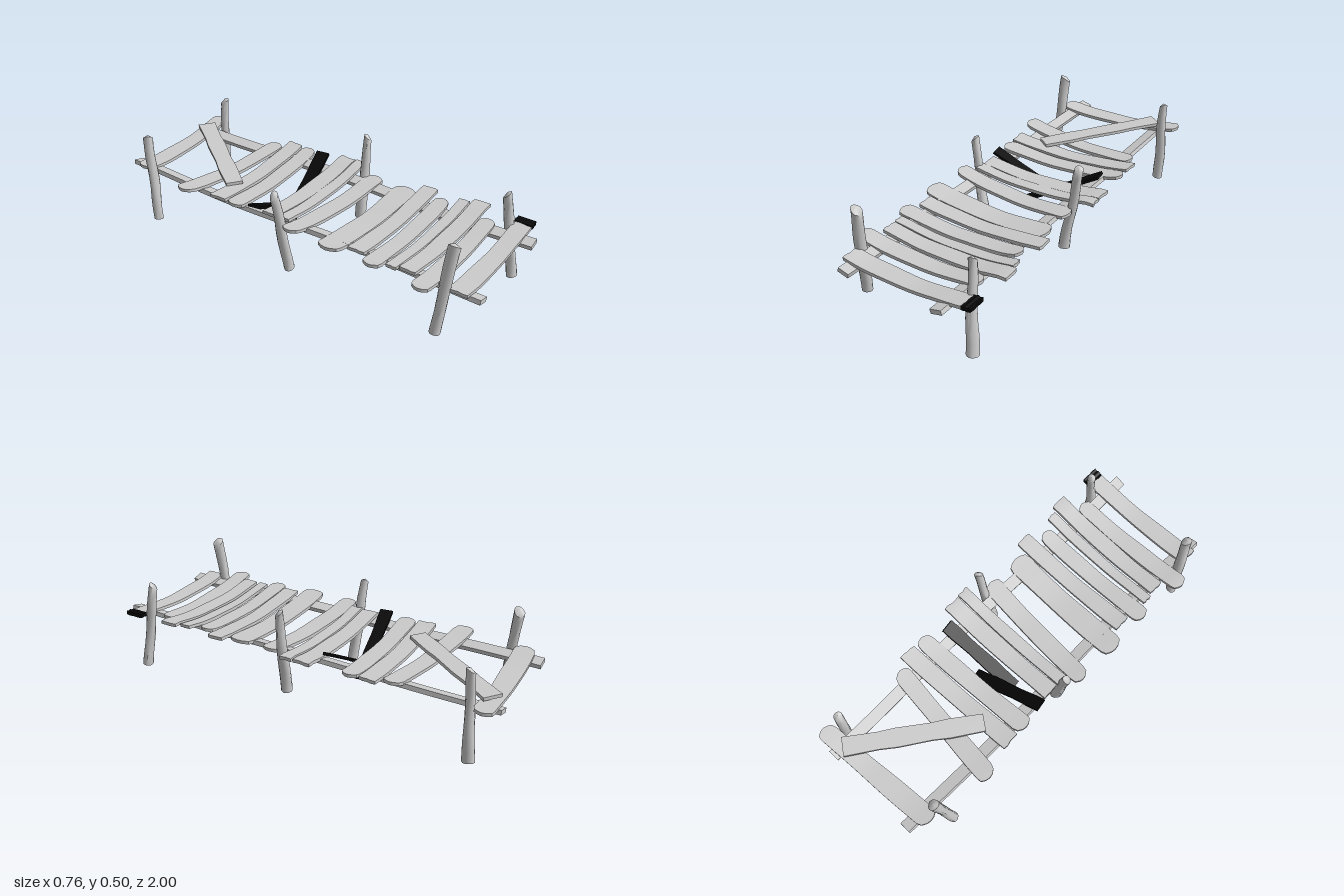
import * as THREE from 'three';
import { toCreasedNormals } from 'three/addons/utils/BufferGeometryUtils.js';

const wood = new THREE.MeshStandardMaterial({ color: 0xcccccc });
wood.name = 'weathered wood';
const burnt = new THREE.MeshStandardMaterial({ color: 0x060606 });
burnt.name = 'blackened wood';

// Small seeded random, -1 to 1
function seeded(seed) {
  let s = seed * 7919 + 17;
  return () => {
    s = (s * 16807) % 2147483647;
    return (s / 2147483647) * 2 - 1;
  };
}

const UP = new THREE.Vector3(0, 1, 0);
const sag = (x, depth) => -depth * Math.max(0, 1 - (x / 0.34) ** 2);

function addMesh(group, geometry, material, name) {
  const mesh = new THREE.Mesh(geometry, material);
  mesh.name = name;
  group.add(mesh);
  return mesh;
}

// Rough log from bottom to top, with a chipped upper end
function post(bottom, top, rBottom, rTop, seed) {
  const a = new THREE.Vector3(...bottom), b = new THREE.Vector3(...top);
  const length = a.distanceTo(b);
  const g = new THREE.CylinderGeometry(rTop, rBottom, length, 12, 8);
  const p = g.attributes.position;
  for (let i = 0; i < p.count; i++) {
    const x = p.getX(i), y = p.getY(i), z = p.getZ(i);
    const t = y / length + 0.5, angle = Math.atan2(z, x);
    const swell = 1 + 0.07 * Math.sin(angle * 2 + t * 5 + seed) + 0.05 * Math.sin(angle * 3 - t * 9 + seed * 2);
    const bend = 0.005 * Math.sin(t * Math.PI * 2 + seed);
    const chip = t > 0.99 && Math.hypot(x, z) > 0.001 ? 0.014 * (1 + Math.sin(angle + seed * 1.7)) : 0;
    p.setXYZ(i, x * swell + bend * t * (1 - t) * 4, y - chip, z * swell);
  }
  const n = toCreasedNormals(g, 0.8);
  n.applyQuaternion(new THREE.Quaternion().setFromUnitVectors(UP, b.clone().sub(a).normalize()));
  n.translate((a.x + b.x) / 2, (a.y + b.y) / 2, (a.z + b.z) / 2);
  return n;
}

// Board between two ends; each end is [x, zMin, zMax]
function plankGeometry(left, right, y, thickness, depth, round, seed) {
  const rnd = seeded(seed);
  const g = new THREE.BoxGeometry(1, thickness, 1, 16, 1, 4);
  const p = g.attributes.position;
  const jag = Array.from({ length: 10 }, () => rnd() * 0.008);
  const twist = rnd() * 0.006;
  for (let i = 0; i < p.count; i++) {
    const u = p.getX(i), w = p.getZ(i);
    const row = Math.round((w + 0.5) * 4);
    const end = Math.abs(u) > 0.499;
    const lerp = THREE.MathUtils.lerp;
    let x = lerp(left[0], right[0], u + 0.5);
    if (end) x -= Math.sign(u) * (round ? 0.07 * w * w : Math.abs(jag[row + (u > 0 ? 5 : 0)]));
    const z0 = lerp(left[1], right[1], u + 0.5), z1 = lerp(left[2], right[2], u + 0.5);
    const grow = 1 + 0.03 * Math.sin(u * 9 + seed) - (end && round ? 0.12 : 0);
    const z = (z0 + z1) / 2 + (z1 - z0) * w * grow;
    p.setXYZ(i, x, y + p.getY(i) + sag(x, depth) + twist * u + 0.0015 * Math.sin(u * 14 + seed), z);
  }
  g.computeVertexNormals();
  return g;
}

// Straight slat between two points, its width axis kept near z
function slat(a, b, width, thickness) {
  const A = new THREE.Vector3(...a), B = new THREE.Vector3(...b);
  const along = B.clone().sub(A);
  const g = new THREE.BoxGeometry(along.length(), thickness, width, 8, 1, 3);
  const p = g.attributes.position;
  for (let i = 0; i < p.count; i++) {
    p.setZ(i, p.getZ(i) * (1 + 0.06 * Math.sin(p.getX(i) * 25)));
  }
  along.normalize();
  const side = new THREE.Vector3().crossVectors(along, UP).normalize();
  const normal = new THREE.Vector3().crossVectors(side, along);
  g.applyMatrix4(new THREE.Matrix4().makeBasis(along, normal, side));
  g.translate((A.x + B.x) / 2, (A.y + B.y) / 2, (A.z + B.z) / 2);
  g.computeVertexNormals();
  return g;
}

// Long side rail, leaning inward and slightly crooked
function rail(x, lean, seed) {
  const g = new THREE.BoxGeometry(0.058, 0.022, 2, 1, 1, 24);
  g.rotateZ(lean);
  const p = g.attributes.position;
  for (let i = 0; i < p.count; i++) {
    const z = p.getZ(i);
    p.setX(i, p.getX(i) + x + 0.006 * Math.sin(z * 4 + seed));
    p.setY(i, p.getY(i) + 0.263 + 0.005 * Math.sin(z * 5 + seed));
  }
  g.computeVertexNormals();
  return g;
}

export function createModel() {
  const bridge = new THREE.Group();
  bridge.name = 'plankBridge';

  // Six leaning posts: bottom, top, radii
  const posts = [
    ['frontRightPost', [-0.308, 0.045, 0.82], [-0.278, 0.5, 0.862], 0.026, 0.026],
    ['frontLeftPost', [0.32, 0.005, 0.882], [0.293, 0.452, 0.822], 0.028, 0.02],
    ['middleRightPost', [-0.256, 0.008, -0.005], [-0.327, 0.445, -0.03], 0.028, 0.02],
    ['middleLeftPost', [0.257, 0.06, 0.062], [0.32, 0.5, 0.052], 0.028, 0.02],
    ['backRightPost', [-0.33, 0.032, -0.8], [-0.298, 0.482, -0.852], 0.023, 0.026],
    ['backLeftPost', [0.288, 0.01, -0.886], [0.297, 0.458, -0.868], 0.028, 0.02],
  ];
  posts.forEach(([name, ...args], i) => addMesh(bridge, post(...args, i + 1), wood, name));

  // Side rails
  addMesh(bridge, rail(-0.25, -0.25, 0), wood, 'rightRail');
  addMesh(bridge, rail(0.24, 0.25, 2), wood, 'leftRail');

  // Cross planks: ends as [x, zMin, zMax], height at the rails, rounded ends
  const planks = [
    [[-0.31, -0.95, -0.845], [0.355, -0.992, -0.905], 0.296, true],
    [[-0.365, -0.625, -0.53], [0.305, -0.55, -0.465], 0.292, true],
    [[-0.32, -0.435, -0.345], [0.35, -0.46, -0.375], 0.294, false],
    [[-0.32, -0.335, -0.245], [0.35, -0.365, -0.28], 0.29, true],
    [[-0.29, -0.13, -0.045], [0.375, -0.14, -0.05], 0.297, false],
    [[-0.29, -0.04, 0.02], [0.38, -0.045, 0.015], 0.3, false],
    [[-0.355, 0.02, 0.11], [0.315, 0.07, 0.165], 0.29, true],
    [[-0.365, 0.225, 0.34], [0.315, 0.24, 0.355], 0.288, true],
    [[-0.305, 0.36, 0.445], [0.365, 0.36, 0.44], 0.296, false],
    [[-0.355, 0.46, 0.545], [0.31, 0.46, 0.54], 0.29, true],
    [[-0.31, 0.56, 0.61], [0.35, 0.565, 0.62], 0.293, false],
    [[-0.3, 0.62, 0.7], [0.375, 0.63, 0.715], 0.298, false],
    [[-0.38, 0.715, 0.805], [0.285, 0.715, 0.795], 0.287, true],
    [[-0.305, 0.855, 0.95], [0.325, 0.86, 0.945], 0.291, false],
  ];
  planks.forEach(([left, right, y, round], i) => {
    addMesh(bridge, plankGeometry(left, right, y, 0.016, 0.03, round, i + 3), wood, 'plank' + (i + 1));
  });

  // Charred tip of the front plank
  addMesh(bridge, plankGeometry([0.32, 0.858, 0.948], [0.37, 0.858, 0.948], 0.292, 0.019, 0.03, false, 40),
    burnt, 'charredTip');

  // Loose plank lying diagonally on the back end
  addMesh(bridge, slat([-0.165, 0.292, -0.41], [0.222, 0.306, -0.945], 0.088, 0.016), wood, 'loosePlank');

  // Broken plank: two halves hanging through the gap
  addMesh(bridge, slat([-0.3, 0.312, -0.172], [0.075, 0.119, -0.235], 0.062, 0.013), burnt, 'brokenPlankRight');
  addMesh(bridge, slat([0.292, 0.333, -0.2], [-0.102, 0.105, -0.145], 0.066, 0.015), burnt, 'brokenPlankLeft');

  return bridge;
}
